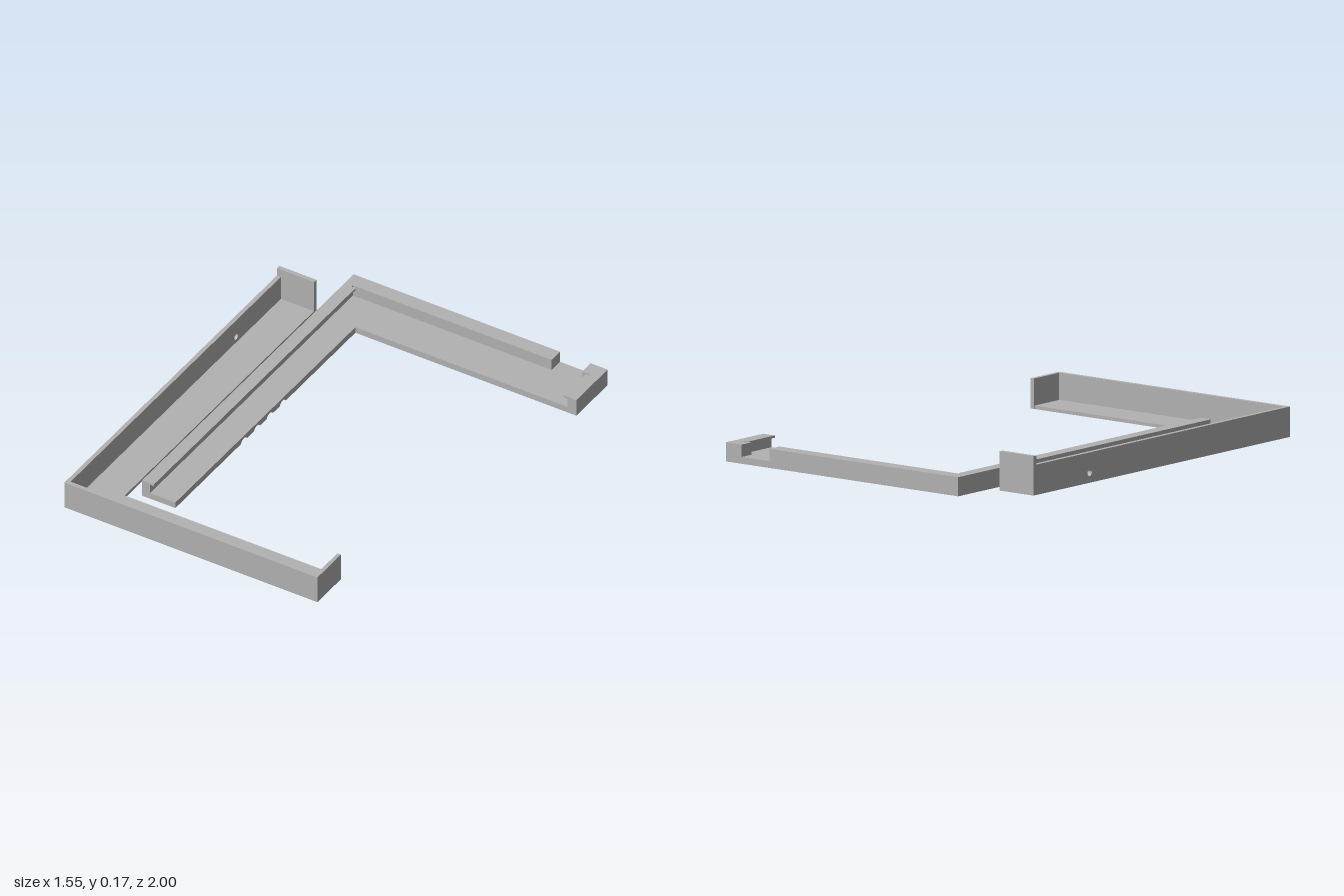
import * as THREE from 'three';

export function createModel() {
  const group = new THREE.Group();
  const grey = new THREE.MeshStandardMaterial({ color: 0xb2b2b2 });
  grey.name = 'plain grey';

  function add(parent, name, geometry) {
    const mesh = new THREE.Mesh(geometry, grey);
    mesh.name = name;
    parent.add(mesh);
  }

  // Box given by its limits on each axis
  function box(parent, name, [x0, x1], [y0, y1], [z0, z1]) {
    const g = new THREE.BoxGeometry(x1 - x0, y1 - y0, z1 - z0);
    g.translate((x0 + x1) / 2, (y0 + y1) / 2, (z0 + z1) / 2);
    add(parent, name, g);
  }

  // Side profile (drawn with u = -z, v = y) extruded from x0 to x1
  function alongX(parent, name, shape, x0, x1) {
    const g = new THREE.ExtrudeGeometry(shape, { depth: x1 - x0, bevelEnabled: false, curveSegments: 12 });
    g.rotateY(Math.PI / 2);
    g.translate(x0, 0, 0);
    add(parent, name, g);
  }

  // Outer tray: L-shaped floor with walls on its outside edges and ends
  const tray = new THREE.Group();
  tray.name = 'outerTray';
  group.add(tray);
  box(tray, 'longFloor', [-0.755, -0.585], [0, 0.015], [-0.76, 0.98]);
  box(tray, 'shortFloor', [-0.585, 0.505], [0, 0.015], [0.805, 0.98]);
  box(tray, 'frontWall', [-0.755, 0.525], [0, 0.135], [0.98, 1]);
  box(tray, 'shortEndWall', [0.507, 0.525], [0, 0.135], [0.805, 0.98]);
  box(tray, 'longEndWall', [-0.775, -0.585], [0, 0.175], [-0.78, -0.76]);

  // Long side wall with a small round hole
  const wall = new THREE.Shape();
  wall.moveTo(-1, 0);
  wall.lineTo(0.76, 0);
  wall.lineTo(0.76, 0.135);
  wall.lineTo(-1, 0.135);
  wall.closePath();
  const hole = new THREE.Path();
  hole.absarc(0.39, 0.045, 0.015, 0, Math.PI * 2, true);
  wall.holes.push(hole);
  alongX(tray, 'longSideWall', wall, -0.775, -0.755);

  // Inner rail: L-shaped base, grooved underneath, with lipped walls
  const rail = new THREE.Group();
  rail.name = 'innerRail';
  group.add(rail);
  const base = new THREE.Shape();
  base.moveTo(-0.75, 0);
  for (const u of [-0.18, -0.073, 0.033, 0.14]) {
    base.lineTo(u - 0.025, 0);
    base.absellipse(u, 0, 0.025, 0.016, Math.PI, 0, true);
  }
  base.lineTo(1, 0);
  base.lineTo(1, 0.03);
  base.lineTo(-0.75, 0.03);
  base.closePath();
  alongX(rail, 'longBase', base, -0.53, -0.36);
  box(rail, 'shortBase', [-0.36, 0.775], [0, 0.03], [-1, -0.74]);

  // Long wall with overhanging lip
  box(rail, 'longWall', [-0.53, -0.49], [0.03, 0.085], [-1, 0.75]);
  box(rail, 'longLip', [-0.49, -0.47], [0.075, 0.085], [-0.92, 0.75]);

  // Back wall, interrupted by a gap near its end
  box(rail, 'backWall', [-0.49, 0.53], [0.03, 0.085], [-1, -0.93]);
  box(rail, 'backWallEnd', [0.687, 0.775], [0.03, 0.085], [-1, -0.93]);

  // Short end wall with matching lip
  box(rail, 'endWall', [0.73, 0.775], [0.03, 0.085], [-0.93, -0.74]);
  box(rail, 'endLip', [0.71, 0.73], [0.075, 0.085], [-0.92, -0.74]);

  return group;
}
